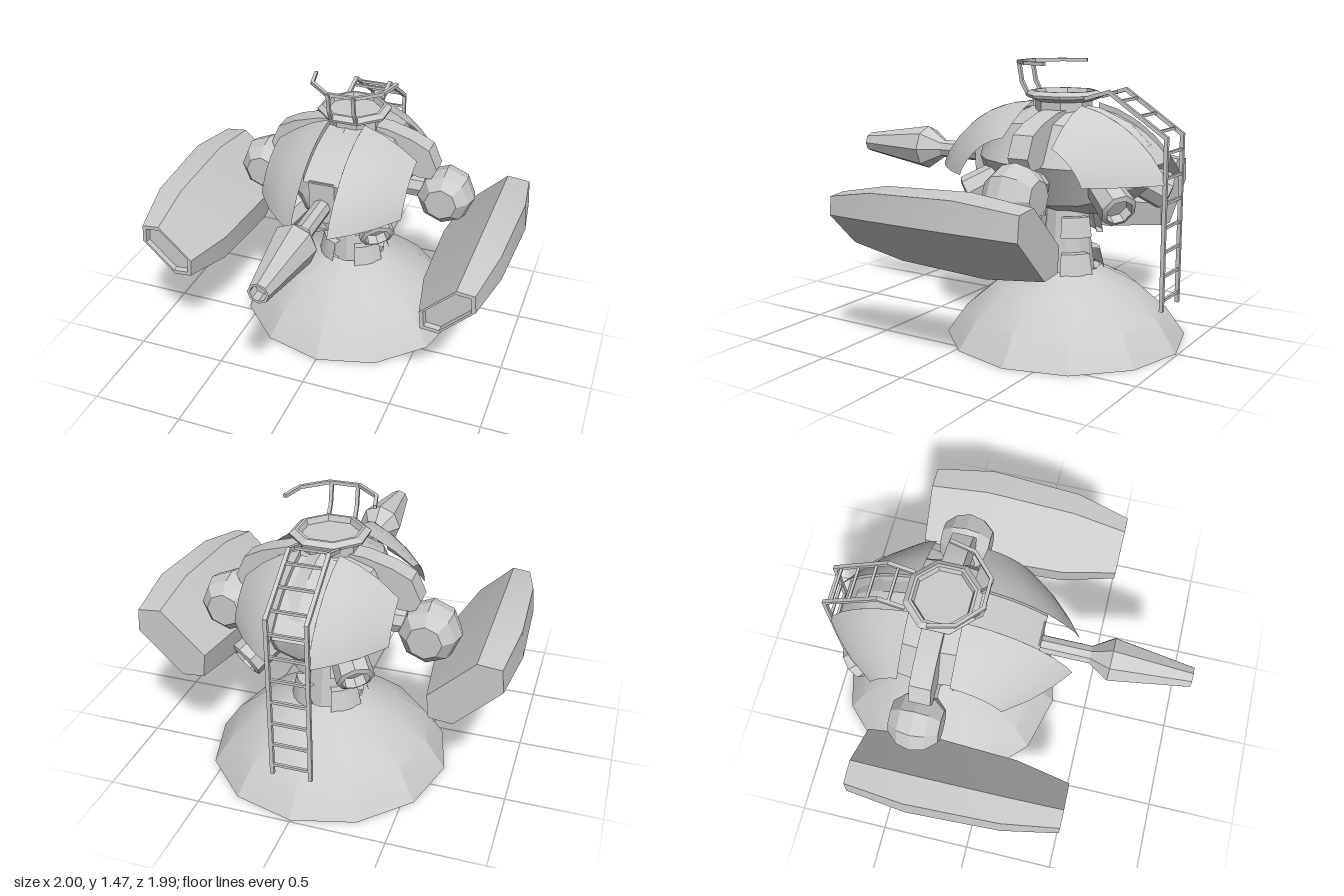
import * as THREE from 'three';
import { toCreasedNormals } from 'three/addons/utils/BufferGeometryUtils.js';

const CZ = -0.345; // z of the turret's vertical axis
const AZ = -0.285; // z of the middle of the armour
const V2 = (p) => new THREE.Vector2(p[0], p[1]);
const V3 = (p) => new THREE.Vector3(...p);

export function createModel() {
  const root = new THREE.Group();
  const mat = new THREE.MeshStandardMaterial({ color: 0xcccccc, side: THREE.DoubleSide });
  const add = (name, geo, x = 0, y = 0, z = 0) => {
    const m = new THREE.Mesh(toCreasedNormals(geo, 0.4), mat);
    m.name = name;
    m.position.set(x, y, z);
    root.add(m);
    return m;
  };
  const lathe = (pts, n, start = 0, len = Math.PI * 2) => new THREE.LatheGeometry(pts.map(V2), n, start, len);

  // Surface through rows of points; keep(column) can leave out strips
  const grid = (rows, keep = () => true) => {
    const n = rows[0].length, idx = [];
    for (let r = 0; r < rows.length - 1; r++)
      for (let c = 0; c < n - 1; c++)
        if (keep(c)) {
          const a = r * n + c;
          idx.push(a, a + 1, a + n + 1, a, a + n + 1, a + n);
        }
    const g = new THREE.BufferGeometry();
    g.setAttribute('position', new THREE.Float32BufferAttribute(rows.flat(2), 3));
    g.setIndex(idx);
    return g;
  };

  // Straight square-section bar between two points
  const bar = (name, a, b, w) => {
    const d = V3(b).sub(V3(a));
    const m = add(name, new THREE.BoxGeometry(w, w, d.length() + w * 0.5));
    m.position.copy(V3(a)).addScaledVector(d, 0.5);
    m.lookAt(V3(b));
  };
  const path = (name, pts, w) => pts.slice(1).forEach((p, i) => bar(name, pts[i], p, w));

  // Open skirt dome and column
  add('baseDome', lathe([[0.645, 0], [0.54, 0.15], [0.38, 0.285], [0.18, 0.385]], 12), 0, 0, CZ);
  add('column', lathe([[0, 0.36], [0.15, 0.36], [0.14, 0.46], [0.125, 0.57], [0.11, 0.78]], 12), 0, 0, CZ);

  // Two levels of collar segments, one per quadrant
  for (let q = 0; q < 4; q++) {
    const start = q * Math.PI / 2 + 0.34, len = Math.PI / 2 - 0.68;
    const ring = (r0, r1, y0, y1, t) => lathe([[r0 - t, y0], [r0, y0], [r1, y1], [r1 - t, y1], [r0 - t, y0]], 3, start, len);
    add('lowerCollar', ring(0.205, 0.18, 0.37, 0.48, 0.07), 0, 0, CZ);
    add('upperCollar', ring(0.195, 0.175, 0.57, 0.675, 0.035), 0, 0, CZ);
  }

  // Faceted inner body, poles to front and back, an edge along the bottom
  const core = new THREE.SphereGeometry(1, 8, 8);
  core.rotateX(Math.PI / 2);
  core.scale(0.36, 0.3, 0.5);
  add('innerBody', core, 0, 0.96, CZ);

  // Front and rear armour: arched strips of constant x, open at the sides, split by a central channel
  const xs = [-0.4, -0.3, -0.2, -0.1, 0.1, 0.2, 0.3, 0.4];
  const reach = { 0.1: 0.67, 0.2: 0.59, 0.3: 0.49, 0.4: 0.355 };
  const rise = { 0.1: 0.38, 0.2: 0.345, 0.3: 0.29, 0.4: 0.22 };
  const armourY = (x, z) => {
    const k = Math.abs(x);
    return 0.89 + rise[k] * Math.pow(Math.max(0, 1 - Math.pow(z / reach[k], 2.4)), 0.8);
  };
  const steps = [0, 0.06, 0.18, 0.34, 0.52, 0.75, 1];
  for (const [s, inner, channelEnd] of [[1, 0.09, 0.485], [-1, 0.19, 0.6]]) {
    const rows = steps.map((t) => xs.map((x) => {
      const R = reach[Math.abs(x)], z = R + (inner - R) * t;
      return [x, armourY(x, z), AZ + s * z];
    }));
    add(s > 0 ? 'frontArmour' : 'rearArmour', grid(rows, (c) => c !== 3));
    const channel = steps.map((t) => {
      const z = channelEnd + (inner - channelEnd) * t, y = armourY(0.1, z);
      return [[-0.1, y], [-0.1, y - 0.03], [0.1, y - 0.03], [0.1, y]].map((p) => [...p, AZ + s * z]);
    });
    add(s > 0 ? 'frontChannel' : 'rearChannel', grid(channel));
  }

  // Octagonal hatch on its neck
  const hatch = add('hatch', lathe([[0.15, 1.17], [0.15, 1.265], [0.2, 1.285], [0.205, 1.3], [0.175, 1.32],
    [0.16, 1.32], [0.15, 1.29], [0, 1.29]], 8), 0, 0, -0.32);
  hatch.rotation.y = Math.PI / 8;

  // Curved grab rail above the hatch
  path('grabRail', [[-0.23, 1.465, -0.33], [-0.2, 1.465, -0.2], [-0.08, 1.465, -0.09],
    [0.08, 1.465, -0.09], [0.2, 1.465, -0.2], [0.23, 1.465, -0.33]], 0.018);

  // Gun with swelling muzzle, and its mount
  const gun = add('gun', lathe([[0, -0.1], [0.05, -0.1], [0.05, 0.46], [0.122, 0.57], [0.055, 1], [0.042, 1],
    [0.042, 0.94], [0, 0.94]], 8), 0, 0.95, 0);
  gun.rotation.x = Math.PI / 2;
  add('gunMount', new THREE.BoxGeometry(0.14, 0.24, 0.25), 0, 0.98, 0.07);

  // Rear ladder
  const rail = [[1.29, -0.5], [1.33, -0.63], [1.12, -0.945], [0.25, -0.945]];
  rail.slice(1).forEach(([y1, z1], i) => {
    const [y0, z0] = rail[i];
    const n = Math.round(Math.hypot(y1 - y0, z1 - z0) / 0.12);
    for (let k = 0; k < n; k++) {
      const t = (k + 0.6) / n, y = y0 + (y1 - y0) * t, z = z0 + (z1 - z0) * t;
      bar('ladderRung', [-0.1, y, z], [0.1, y, z], 0.014);
    }
  });

  // Side pod sections: z and scale of an elongated hexagon
  const hex = [[0.06, 0.22], [0.21, 0.205], [0.225, 0.055], [-0.06, -0.225], [-0.21, -0.21], [-0.225, -0.055], [0.06, 0.22]];
  const podSections = [[-0.63, 0], [-0.63, 0.82], [-0.3, 1], [0.2, 0.9], [0.5, 0.63], [0.5, 0.54], [0.47, 0.52], [0.47, 0]];

  for (const s of [1, -1]) {
    add('sidePod', grid(podSections.map(([z, k]) => hex.map(([x, y]) => [s * (0.775 + x * k), 0.69 + y * k, z]))));

    // Shoulder ball, axis along z, with flat ends
    const ball = add('shoulderBall', lathe([[0, -0.135], [0.09, -0.135], [0.145, -0.075], [0.163, 0], [0.145, 0.075],
      [0.09, 0.135], [0, 0.135]], 8), s * 0.535, 0.847, -0.352);
    ball.rotation.x = Math.PI / 2;
    const axle = add('shoulderAxle', new THREE.CylinderGeometry(0.07, 0.07, 0.25, 8), s * 0.32, 0.88, CZ);
    axle.rotation.z = Math.PI / 2;

    // Bent bracket over the shoulder
    const shape = new THREE.Shape([[0.1, 1.23], [0.2, 1.22], [0.34, 1.18], [0.44, 1.13], [0.49, 1.02], [0.46, 0.96],
      [0.38, 0.96], [0.2, 1.05]].map(([x, y]) => new THREE.Vector2(s * x, y)));
    add('shoulderBracket', new THREE.ExtrudeGeometry(shape, { depth: 0.115, bevelEnabled: false }), 0, 0, -0.395);

    // Hollow ports on the four lower corners
    for (const f of [1, -1]) {
      const port = add('port', lathe([[0.085, -0.25], [0.095, 0], [0.07, 0.01], [0.065, -0.04], [0, -0.04]], 8),
        s * 0.28, 0.775, CZ + f * 0.44);
      port.quaternion.setFromUnitVectors(V3([0, 1, 0]), V3([s * 0.3, -0.28, f * 0.43]).normalize());
    }

    path('grabRailLeg', [[s * 0.07, 1.3, -0.14], [s * 0.07, 1.36, -0.105], [s * 0.07, 1.465, -0.085]], 0.018);
    path('ladderRail', rail.map(([y, z]) => [s * 0.1, y, z]), 0.02);
  }
  return root;
}
